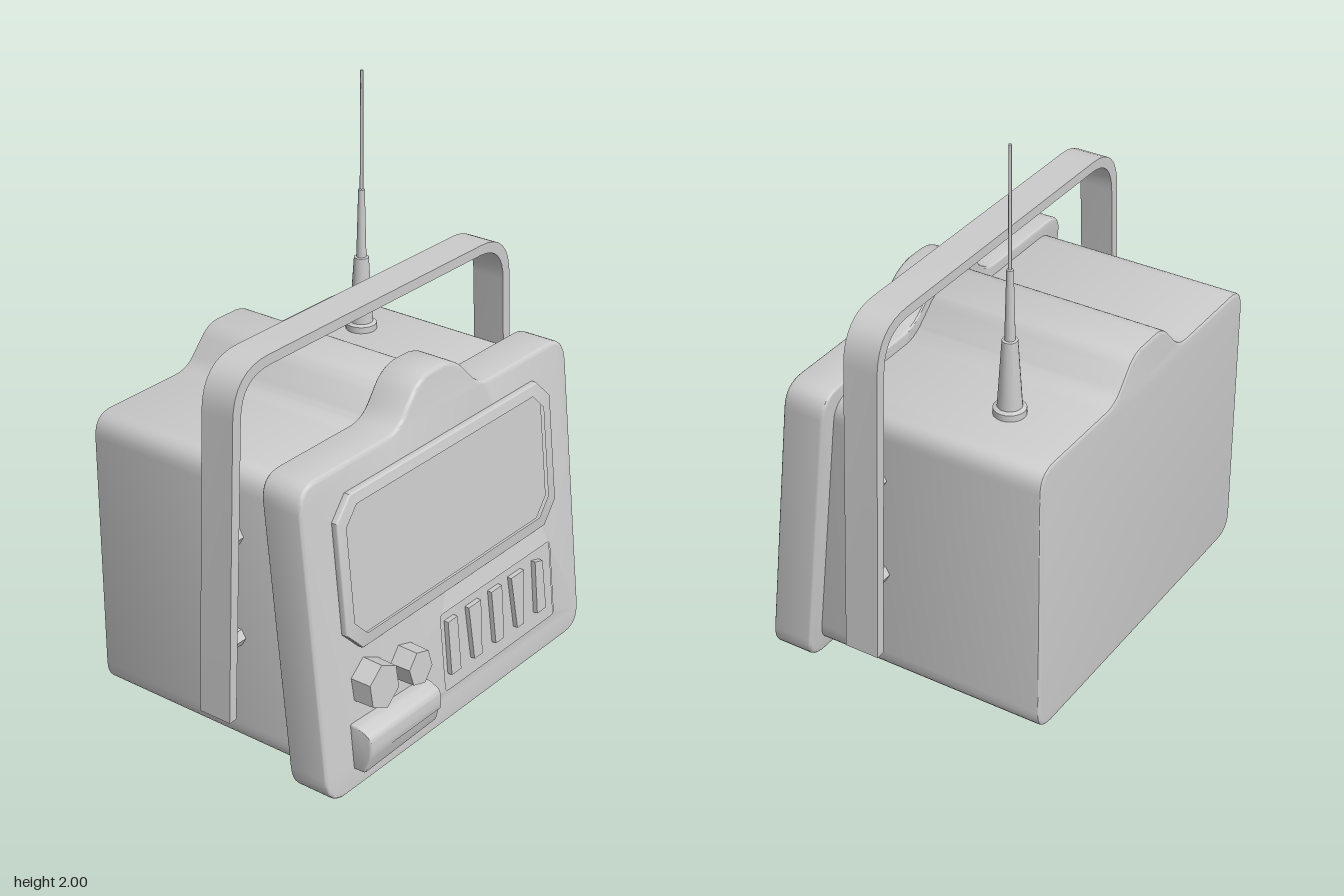
import * as THREE from 'three';
import { toCreasedNormals } from 'three/addons/utils/BufferGeometryUtils.js';

const mat = new THREE.MeshStandardMaterial({ color: 0xcccccc });

// Closed outline through [x, y, cornerRadius] points
function outline(pts, Type = THREE.Shape) {
  const s = new Type();
  const n = pts.length;
  pts.forEach(([x, y, r = 0], i) => {
    const c = new THREE.Vector2(x, y);
    const toward = ([px, py]) =>
      new THREE.Vector2(px, py).sub(c).normalize().multiplyScalar(r).add(c);
    const a = toward(pts[(i + n - 1) % n]);
    const b = toward(pts[(i + 1) % n]);
    if (i === 0) s.moveTo(a.x, a.y);
    else s.lineTo(a.x, a.y);
    if (r > 0) s.quadraticCurveTo(x, y, b.x, b.y);
  });
  s.closePath();
  return s;
}

// Left half of an outline, mirrored to the other side
const mirrored = (half) => [...half, ...half.map(([x, y, r]) => [-x, y, r]).reverse()];

const rect = (x0, y0, x1, y1, r) => [[x0, y0, r], [x0, y1, r], [x1, y1, r], [x1, y0, r]];

const octagon = (w, y0, y1, c) =>
  mirrored([[-w + c, y0], [-w, y0 + c], [-w, y1 - c], [-w + c, y1]]);

// Extrusion from z0 to z1 with an inset bevel
function extrude(shape, z0, z1, bevel = 0) {
  return new THREE.ExtrudeGeometry(shape, {
    depth: z1 - z0 - 2 * bevel, curveSegments: 8,
    bevelEnabled: bevel > 0, bevelThickness: bevel, bevelSize: bevel,
    bevelOffset: -bevel, bevelSegments: 3,
  }).translate(0, 0, z0 + bevel);
}

function warp(geo, rule) {
  const p = geo.attributes.position;
  const v = new THREE.Vector3();
  for (let i = 0; i < p.count; i++) {
    rule(v.fromBufferAttribute(p, i));
    p.setXYZ(i, v.x, v.y, v.z);
  }
  return geo;
}

// The front leans back: z = 0 becomes the sloping face
const faceZ = (y) => 0.476 - 0.1033 * y;
const lean = (geo) => warp(geo, (v) => { v.z += faceZ(v.y); });

export function createModel() {
  const model = new THREE.Group();
  model.name = 'portableSet';
  const add = (name, geo, crease = 0.55) => {
    const m = new THREE.Mesh(toCreasedNormals(geo, crease), mat);
    m.name = name;
    model.add(m);
    return m;
  };

  // Body, its front end cut along the back of the leaning panel
  const bodyShape = outline(mirrored([
    [-0.64, 0.1, 0.08], [-0.64, 1.09, 0.08], [-0.205, 1.09, 0.05], [-0.09, 1.215, 0.05],
  ]));
  add('body', warp(extrude(bodyShape, 0, 1, 0.012), (v) => {
    v.z = -0.525 + v.z * (faceZ(v.y) - 0.13 + 0.525);
  }));

  // Front panel with an opening for the grille
  const panelShape = outline(mirrored([
    [-0.7, 0.06, 0.09], [-0.7, 1.135, 0.09], [-0.215, 1.135, 0.06], [-0.09, 1.27, 0.07],
  ]));
  panelShape.holes.push(outline(rect(-0.09, 0.155, 0.56, 0.455, 0.03), THREE.Path));
  add('frontPanel', lean(extrude(panelShape, -0.15, 0, 0.012)));
  add('grilleFloor', lean(extrude(outline(rect(-0.1, 0.145, 0.57, 0.465)), -0.06, -0.018)));

  // Uneven grille bars: [centre, half width at top, half width at bottom, drop of top right]
  const bars = [[-0.012, 0.026, 0.026, 0], [0.111, 0.034, 0.022, 0], [0.235, 0.03, 0.024, 0],
    [0.357, 0.037, 0.02, 0], [0.482, 0.022, 0.026, 0.012]];
  for (const [x, t, b, drop] of bars) {
    const shape = outline([[x - b, 0.208], [x - t, 0.4], [x + t, 0.4 - drop], [x + b, 0.208]]);
    add('grilleBar', lean(extrude(shape, -0.02, -0.001)));
  }

  // Screen and its raised frame
  const frame = outline(octagon(0.566, 0.53, 1.045, 0.07));
  frame.holes.push(outline(octagon(0.53, 0.565, 1.01, 0.06), THREE.Path));
  add('screenFrame', lean(extrude(frame, -0.01, 0.022, 0.005)));
  add('screen', lean(extrude(outline(octagon(0.535, 0.56, 1.015, 0.06)), -0.01, 0.004)));

  // Six-sided knobs
  for (const [x, y, r, turn] of [[-0.47, 0.403, 0.08, 0.07], [-0.285, 0.38, 0.063, 0.25]]) {
    const knob = new THREE.CylinderGeometry(r * 0.96, r, 0.09, 6);
    knob.rotateX(Math.PI / 2).rotateZ(turn).translate(x, y, 0.027);
    add('knob', lean(knob));
  }

  // Wedge-shaped grip below the knobs, slightly lower towards its right end
  const grip = extrude(outline([
    [-0.01, 0.13], [-0.01, 0.288], [0.028, 0.288, 0.01], [0.078, 0.268, 0.02],
    [0.074, 0.205, 0.02], [0.042, 0.13, 0.012],
  ]), 0, 0.38, 0.006);
  grip.rotateY(-Math.PI / 2).translate(-0.185, 0, 0);
  add('grip', lean(warp(grip, (v) => {
    const t = (v.x + 0.565) / 0.38;
    if (v.y > 0.2) v.y -= 0.016 * t;
    if (v.z > 0) v.z *= 1 - 0.15 * t;
  })));

  // Carrying handle
  add('handle', extrude(outline([
    [-0.76, 0.26], [-0.704, 1.447, 0.16], [0.704, 1.447, 0.16], [0.76, 0.26],
    [0.728, 0.26], [0.668, 1.412, 0.13], [-0.668, 1.412, 0.13], [-0.728, 0.26],
  ]), 0, 0.122));

  // Pegs joining the handle to the body, and feet
  for (const side of [-1, 1]) {
    for (const y of [0.5, 0.86]) {
      const peg = new THREE.CylinderGeometry(0.032, 0.032, 0.1, 6);
      add('handlePeg', peg.rotateZ(Math.PI / 2).translate(side * 0.665, y, 0.06));
    }
    for (const z of [0.2, -0.385]) {
      const foot = warp(new THREE.BoxGeometry(1, 0.12, 1).translate(0, 0.06, 0), (v) => {
        const w = 0.1 + 0.46 * v.y;
        v.x = v.x * w + side * 0.423;
        v.z = v.z * (w + 0.01) + z;
      });
      add('foot', foot);
    }
  }

  // Telescopic antenna
  const antenna = new THREE.LatheGeometry([
    [0, 1.08], [0.053, 1.08], [0.053, 1.112], [0.04, 1.118], [0.025, 1.35], [0.017, 1.352],
    [0.011, 1.59], [0.006, 1.592], [0.005, 2], [0, 2],
  ].map(([r, y]) => new THREE.Vector2(r, y)), 20);
  add('antenna', antenna.translate(0.409, 0, -0.273));

  return model;
}
